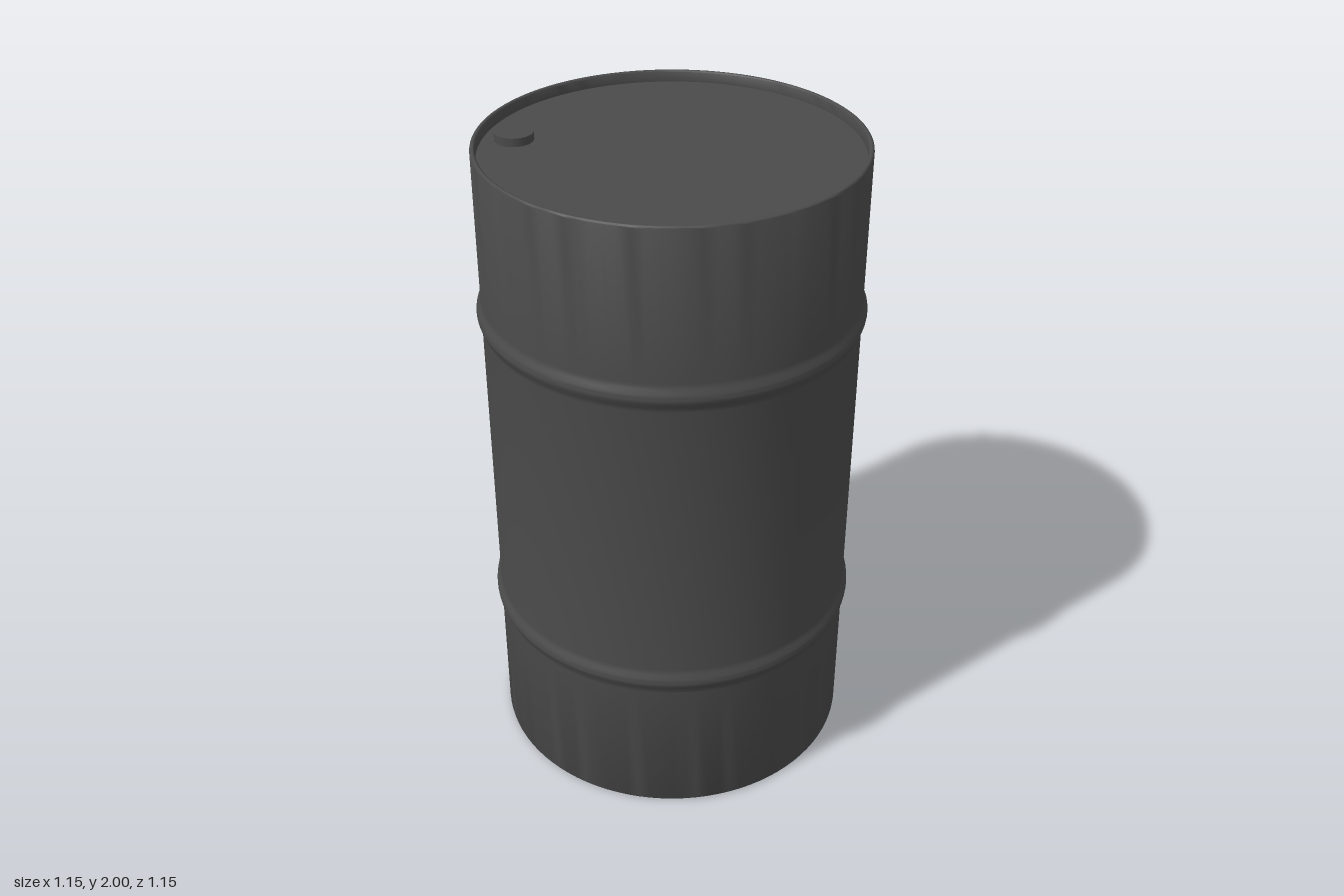
import * as THREE from 'three';
import { toCreasedNormals } from 'three/addons/utils/BufferGeometryUtils.js';

const R = 0.56;         // wall radius
const INNER = 0.545;    // inside of the rims
const LID_Y = 1.965;    // recessed top
const BASE_Y = 0.025;   // recessed bottom
const SEGMENTS = 96;

const steel = new THREE.MeshStandardMaterial({ color: 0x4a4a4a, side: THREE.DoubleSide });

function add(group, name, geometry) {
  const mesh = new THREE.Mesh(geometry, steel);
  mesh.name = name;
  group.add(mesh);
  return mesh;
}

function lathe(points, segments = SEGMENTS) {
  const profile = points.map(([r, y]) => new THREE.Vector2(r, y));
  return toCreasedNormals(new THREE.LatheGeometry(profile, segments), 0.7);
}

// Rounded rolling hoop: a soft bulge in the wall, listed bottom to top
function hoop(y) {
  const points = [];
  for (let i = 0; i <= 12; i++) {
    const t = i / 6 - 1;
    points.push([R + 0.007 * (1 + Math.cos(Math.PI * t)), y + t * 0.045]);
  }
  return points;
}

// Rolled lip joining the wall to the inner face
function lip(y, dir) {
  const mid = (R + INNER) / 2, half = (R - INNER) / 2;
  const points = [];
  for (let i = 0; i <= 8; i++) {
    const a = (i / 8) * Math.PI;
    points.push([mid + half * Math.cos(a), y + dir * half * (Math.sin(a) - 1)]);
  }
  return points;
}

export function createModel() {
  const group = new THREE.Group();
  group.name = 'drum';

  // Wall with two hoops and a lip at each end
  add(group, 'shell', lathe([
    [INNER, BASE_Y],
    ...lip(0, -1).reverse(),
    ...hoop(0.5),
    ...hoop(1.5),
    ...lip(2, 1),
    [INNER, LID_Y],
  ]));

  // Recessed ends
  const lid = add(group, 'lid', new THREE.CircleGeometry(INNER, SEGMENTS));
  lid.rotation.x = -Math.PI / 2;
  lid.position.y = LID_Y;
  const base = add(group, 'base', new THREE.CircleGeometry(INNER, SEGMENTS));
  base.rotation.x = Math.PI / 2;
  base.position.y = BASE_Y;

  // Filler cap near the edge of the lid
  const cap = add(group, 'fillerCap', lathe([[0.057, 0], [0.057, 0.025], [0, 0.025]], 48));
  cap.position.set(-0.455, LID_Y, 0);

  return group;
}
